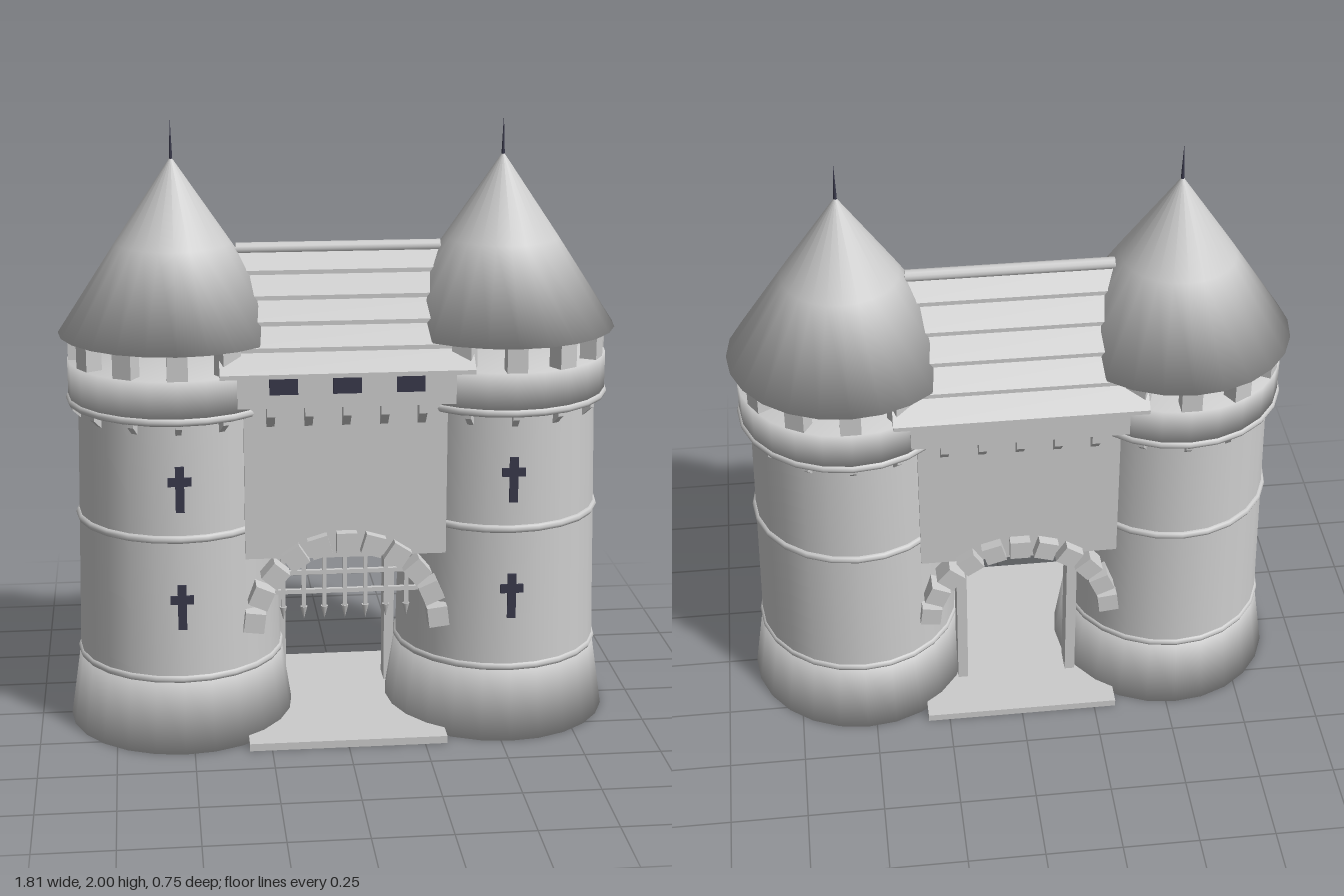
import * as THREE from 'three';

export function createModel() {
  const stone = new THREE.MeshStandardMaterial({ color: 0xcccccc });
  stone.name = 'pale stone';
  const dark = new THREE.MeshStandardMaterial({ color: 0x38384a });
  dark.name = 'dark opening';

  const root = new THREE.Group();
  root.name = 'gatehouse';

  const add = (parent, name, geo, mat, x = 0, y = 0, z = 0) => {
    const m = new THREE.Mesh(geo, mat);
    m.name = name;
    m.position.set(x, y, z);
    parent.add(m);
    return m;
  };
  const box = (w, h, d) => new THREE.BoxGeometry(w, h, d);
  // Closed smooth lathe; the rims stay softly shaded
  const lathe = (pts) => new THREE.LatheGeometry(pts.map(([r, y]) => new THREE.Vector2(r, y)), 24);
  // Extrude a (z, y) outline along x, centred
  const extrudeX = (pts, width) => {
    const shape = new THREE.Shape(pts.map(([z, y]) => new THREE.Vector2(-z, y)));
    const g = new THREE.ExtrudeGeometry(shape, { depth: width, bevelEnabled: false });
    return g.translate(0, 0, -width / 2).rotateY(Math.PI / 2);
  };
  // Supporting bracket pointing to +z, top at y = 0
  const bracket = (w, d, h) => extrudeX([[-0.02, 0], [d, 0], [d, -h * 0.4], [0, -h], [-0.02, -h]], w);

  const bodyRadius = (y) => 0.335 - (0.02 * (y - 0.25)) / 0.85;

  // Geometry shared by both towers
  const baseGeo = lathe([[0, 0], [0.373, 0], [0.335, 0.25], [0, 0.25]]);
  const bodyGeo = lathe([[0.335, 0.25], [0.315, 1.1]]);
  const parapetGeo = lathe([[0, 1.11], [0.347, 1.11], [0.347, 1.235], [0, 1.235]]);
  const roofGeo = lathe([[0, 1.32], [0.373, 1.32], [0.185, 1.607], [0, 1.88]]);
  const merlonGeo = box(0.065, 0.1, 0.055);
  const towerBracketGeo = bracket(0.02, 0.028, 0.045);

  function makeTower(x) {
    const t = new THREE.Group();
    t.name = 'tower';
    t.position.x = x;
    root.add(t);
    add(t, 'towerBase', baseGeo, stone);
    add(t, 'towerBody', bodyGeo, stone);
    add(t, 'parapet', parapetGeo, stone);
    add(t, 'towerRoof', roofGeo, stone);
    add(t, 'finial', new THREE.ConeGeometry(0.006, 0.14, 8), dark, 0, 1.93, 0);

    // Moulding rings
    for (const [r, y] of [[0.329, 0.245], [0.321, 0.715], [0.341, 1.105]]) {
      const ring = add(t, 'ring', new THREE.TorusGeometry(r, 0.014, 8, 24), stone, 0, y, 0);
      ring.rotation.x = Math.PI / 2;
    }
    // Merlons carrying the roof
    for (let i = 0; i < 12; i++) {
      const a = (i / 12) * Math.PI * 2;
      const m = add(t, 'merlon', merlonGeo, stone, Math.sin(a) * 0.315, 1.275, Math.cos(a) * 0.315);
      m.rotation.y = a;
    }
    // Small brackets under the upper ring
    for (let i = 0; i < 14; i++) {
      const a = (i / 14) * Math.PI * 2;
      const b = add(t, 'towerBracket', towerBracketGeo, stone, Math.sin(a) * 0.315, 1.1, Math.cos(a) * 0.315);
      b.rotation.y = a;
    }
    // Cross-shaped arrow slits on the front
    for (const y of [0.49, 0.88]) {
      const z = bodyRadius(y);
      add(t, 'slitUpright', box(0.028, 0.15, 0.009), dark, 0, y, z);
      add(t, 'slitArm', box(0.075, 0.028, 0.009), dark, 0, y + 0.025, z);
    }
  }
  makeTower(-0.53);
  makeTower(0.53);

  // Threshold, wall over the passage and its overhanging storey
  add(root, 'threshold', box(0.645, 0.025, 0.74), stone, 0, 0.0125, 0);
  add(root, 'gateWall', box(0.648, 0.52, 0.52), stone, 0, 0.88, 0);
  add(root, 'upperStorey', box(0.69, 0.12, 0.6), stone, 0, 1.19, 0);

  // Windows
  for (const x of [-0.2, 0, 0.2]) add(root, 'window', box(0.09, 0.065, 0.008), dark, x, 1.207, 0.301);

  // Stepped roof with overlapping courses
  const rows = 5, slope = [];
  for (let i = 0; i < rows; i++) {
    const z0 = 0.34 * (1 - i / rows), z1 = 0.34 * (1 - (i + 1) / rows);
    const y0 = 1.235 + 0.068 * i;
    slope.push([z0, y0], [z0, y0 + 0.014], [z1, y0 + 0.068]);
  }
  const outline = slope.slice(0, -1).concat([[0, 1.585]]);
  const other = slope.slice(0, -1).map(([z, y]) => [-z, y]).reverse();
  add(root, 'gateRoof', extrudeX(outline.concat(other), 0.8), stone);
  const ridge = add(root, 'ridge', new THREE.CylinderGeometry(0.02, 0.02, 0.66, 12), stone, 0, 1.58, 0);
  ridge.rotation.z = Math.PI / 2;

  // Brackets and arch stones on both faces
  const gateBracketGeo = bracket(0.026, 0.04, 0.07);
  const archGeo = box(0.066, 0.066, 0.07);
  for (const side of [1, -1]) {
    for (let i = -2; i <= 2; i++) {
      const b = add(root, 'gateBracket', gateBracketGeo, stone, i * 0.12, 1.13, side * 0.26);
      if (side < 0) b.rotation.y = Math.PI;
    }
    for (let i = -5; i <= 5; i++) {
      const a = THREE.MathUtils.degToRad(i * 16.6);
      const s = add(root, 'archStone', archGeo, stone, Math.sin(a) * 0.3, 0.375 + Math.cos(a) * 0.3, side * 0.26);
      s.rotation.z = -a;
    }
  }

  // Raised portcullis
  for (let i = -3; i <= 3; i++) {
    add(root, 'portcullisBar', box(0.014, 0.2, 0.014), stone, i * 0.067, 0.53, 0.22);
    const tip = add(root, 'portcullisSpike', new THREE.ConeGeometry(0.012, 0.045, 8), stone, i * 0.067, 0.415, 0.22);
    tip.rotation.x = Math.PI;
  }
  for (const y of [0.49, 0.555, 0.612]) {
    add(root, 'portcullisRail', box(0.48, 0.014, 0.014), stone, 0, y, 0.22);
  }

  // Open door leaves
  for (const s of [-1, 1]) add(root, 'doorLeaf', box(0.034, 0.54, 0.08), stone, s * 0.187, 0.295, -0.155);

  return root;
}
